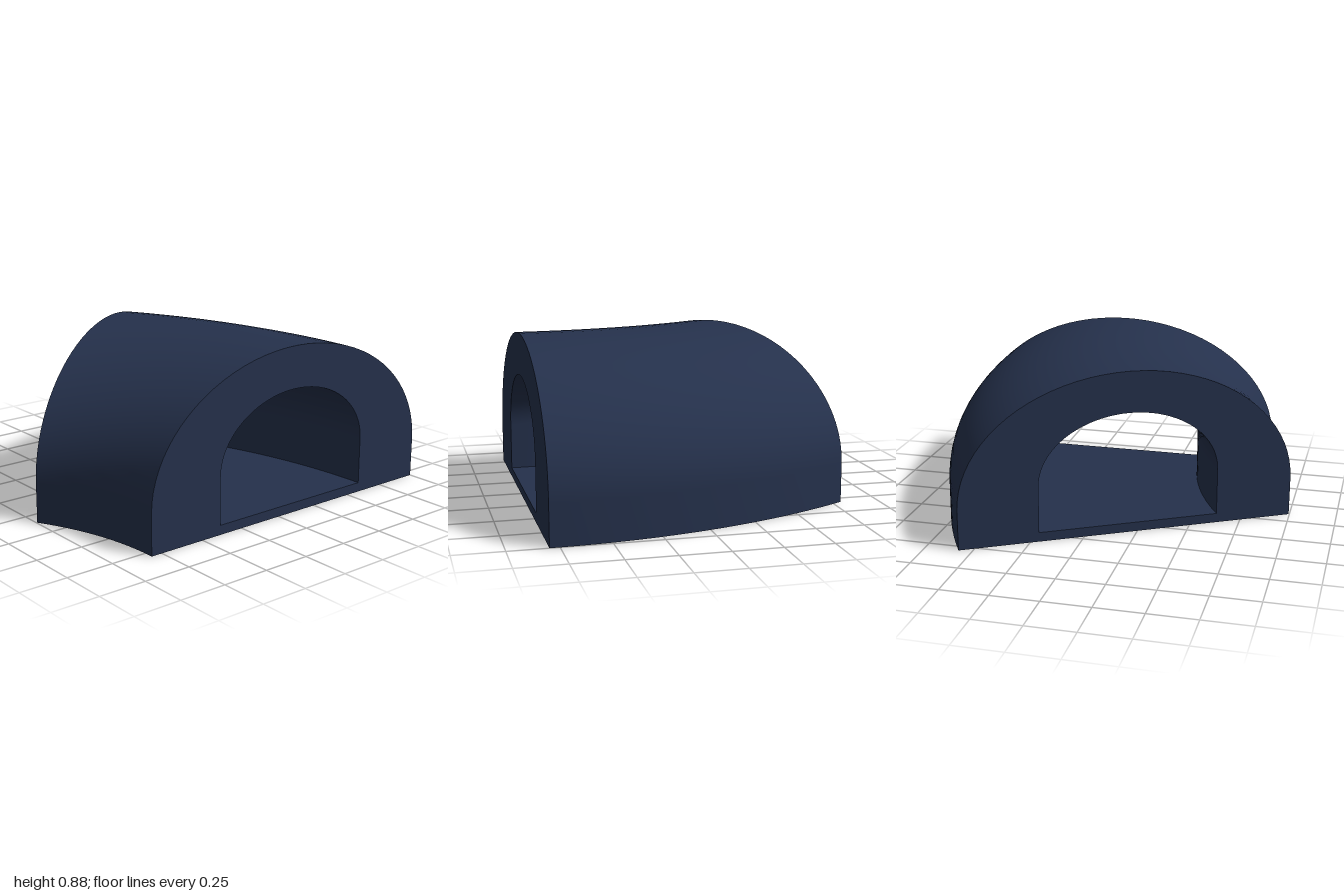
import * as THREE from 'three';

// The arch profile is swept 30 degrees about a vertical axis at (AXIS_X, FRONT_Z).
const AXIS_X = -2.2, FRONT_Z = 0.8, MID_R = 2.295, SWEEP = Math.PI / 6, SEGMENTS = 32;

// Arch from the outer foot over the crown to the inner foot: straight legs, elliptical top
function archPoints(halfWidth, base, spring, top) {
  const points = [new THREE.Vector2(MID_R + halfWidth, base)];
  const steps = 40;
  for (let i = 0; i <= steps; i++) {
    const a = (i / steps) * Math.PI;
    points.push(new THREE.Vector2(
      MID_R + halfWidth * Math.cos(a),
      spring + (top - spring) * Math.sin(a)));
  }
  points.push(new THREE.Vector2(MID_R - halfWidth, base));
  return points;
}

export function createModel() {
  const group = new THREE.Group();
  group.name = 'curvedTunnel';
  const navy = new THREE.MeshStandardMaterial({ color: 0x25314c });
  navy.name = 'navy';

  const outer = archPoints(0.905, 0, 0.21, 0.875);
  const inner = archPoints(0.485, 0.05, 0.3, 0.655);

  function add(name, geometry) {
    const mesh = new THREE.Mesh(geometry, navy);
    mesh.name = name;
    mesh.position.set(AXIS_X, 0, FRONT_Z);
    group.add(mesh);
  }
  const sweep = (points) => new THREE.LatheGeometry(points, SEGMENTS, Math.PI / 2, SWEEP);

  // Curved surfaces
  add('outerShell', sweep(outer));
  add('tunnelWall', sweep([...inner].reverse()));
  add('tunnelFloor', sweep([inner[0], inner[inner.length - 1]]));
  add('underside', sweep([outer[outer.length - 1], outer[0]]));

  // Flat end faces with the tunnel opening; sign -1 mirrors the face for the far end
  function endFace(sign) {
    const flip = (points) => points.map((p) => new THREE.Vector2(sign * p.x, p.y));
    const shape = new THREE.Shape(flip(outer));
    shape.holes.push(new THREE.Path(flip(inner)));
    return new THREE.ShapeGeometry(shape);
  }
  add('frontFace', endFace(1));
  add('backFace', endFace(-1).rotateY(Math.PI + SWEEP));

  return group;
}
